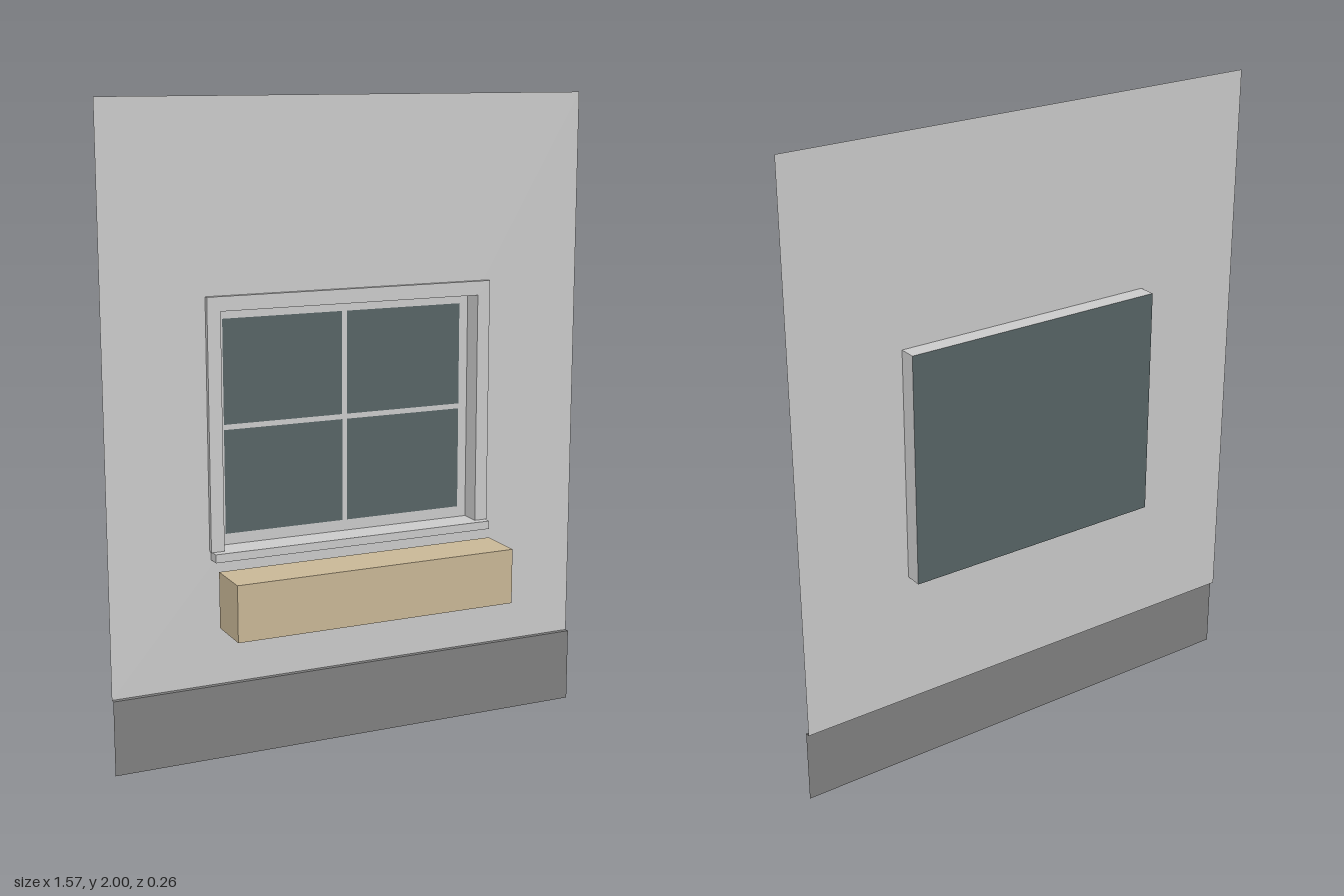
import * as THREE from 'three';

const WALL_Z = -0.075, FRONT_Z = -0.06, GLASS_Z = -0.129;
const HALF_W = 0.785, PLINTH_H = 0.235;
const OPEN = { x: 0.426, y0: 0.656, y1: 1.381 };

const paint = (color) => new THREE.MeshStandardMaterial({ color, side: THREE.DoubleSide });

// Counter-clockwise rectangle points
const rect = (x0, y0, x1, y1) =>
  [[x0, y0], [x1, y0], [x1, y1], [x0, y1]].map(([x, y]) => new THREE.Vector2(x, y));

// Rectangle with rectangular holes
function panel(outer, holes) {
  const shape = new THREE.Shape(rect(...outer));
  for (const h of holes) shape.holes.push(new THREE.Path(rect(...h).reverse()));
  return new THREE.ShapeGeometry(shape);
}

export function createModel() {
  const group = new THREE.Group();
  const grey = paint(0xcccccc), dark = paint(0x808080);
  const glass = paint(0x576466), wood = paint(0xcab897);

  const add = (name, geometry, material, x = 0, y = 0, z = 0) => {
    const mesh = new THREE.Mesh(geometry, material);
    mesh.name = name;
    mesh.position.set(x, y, z);
    group.add(mesh);
    return mesh;
  };
  // Box given by its limits, centred on x
  const box = (name, material, halfX, y0, y1, z0, z1) =>
    add(name, new THREE.BoxGeometry(2 * halfX, y1 - y0, z1 - z0), material,
      0, (y0 + y1) / 2, (z0 + z1) / 2);

  // Thin wall with the window opening
  const { x: ox, y0, y1 } = OPEN;
  add('wall', panel([-HALF_W, PLINTH_H, HALF_W, 2], [[-ox, y0, ox, y1]]), grey, 0, 0, WALL_Z);

  // Plinth face and the narrow ledge joining it to the wall
  add('plinth', new THREE.PlaneGeometry(2 * HALF_W, PLINTH_H), dark, 0, PLINTH_H / 2, FRONT_Z);
  const ledge = add('plinthLedge', new THREE.PlaneGeometry(2 * HALF_W, FRONT_Z - WALL_Z), dark,
    0, PLINTH_H, (FRONT_Z + WALL_Z) / 2);
  ledge.rotation.x = -Math.PI / 2;

  // Casing around the top and sides of the opening
  const casing = new THREE.Shape([
    [-0.468, y0], [-ox, y0], [-ox, y1], [ox, y1], [ox, y0],
    [0.468, y0], [0.468, 1.425], [-0.468, 1.425],
  ].map(([x, y]) => new THREE.Vector2(x, y)));
  add('casing', new THREE.ExtrudeGeometry(casing, { depth: FRONT_Z - WALL_Z, bevelEnabled: false }),
    grey, 0, 0, WALL_Z);

  box('sill', grey, 0.464, 0.63, y0, WALL_Z, -0.034);

  // Reveal: four thin faces running back from the opening
  const depth = WALL_Z - GLASS_Z, midZ = (WALL_Z + GLASS_Z) / 2;
  for (const s of [-1, 1]) {
    const side = add(s < 0 ? 'revealRight' : 'revealLeft',
      new THREE.PlaneGeometry(depth, y1 - y0), grey, s * ox, (y0 + y1) / 2, midZ);
    side.rotation.y = -s * Math.PI / 2;
    const cap = add(s < 0 ? 'revealBottom' : 'revealTop',
      new THREE.PlaneGeometry(2 * ox, depth), grey, 0, s < 0 ? y0 : y1, midZ);
    cap.rotation.x = s * Math.PI / 2;
  }

  // Window: glass sheet with a flat four-pane sash in front
  add('glass', new THREE.PlaneGeometry(2 * ox, y1 - y0), glass, 0, (y0 + y1) / 2, GLASS_Z);
  const panes = [];
  for (const [a, b] of [[-0.397, -0.008], [0.008, 0.397]])
    for (const [c, d] of [[0.69, 1.012], [1.028, 1.349]]) panes.push([a, c, b, d]);
  add('sash', panel([-ox, y0, ox, y1], panes), grey, 0, 0, GLASS_Z + 0.002);

  // Planter box below the window
  box('planter', wood, 0.458, 0.43, 0.605, -0.024, 0.129);

  return group;
}
